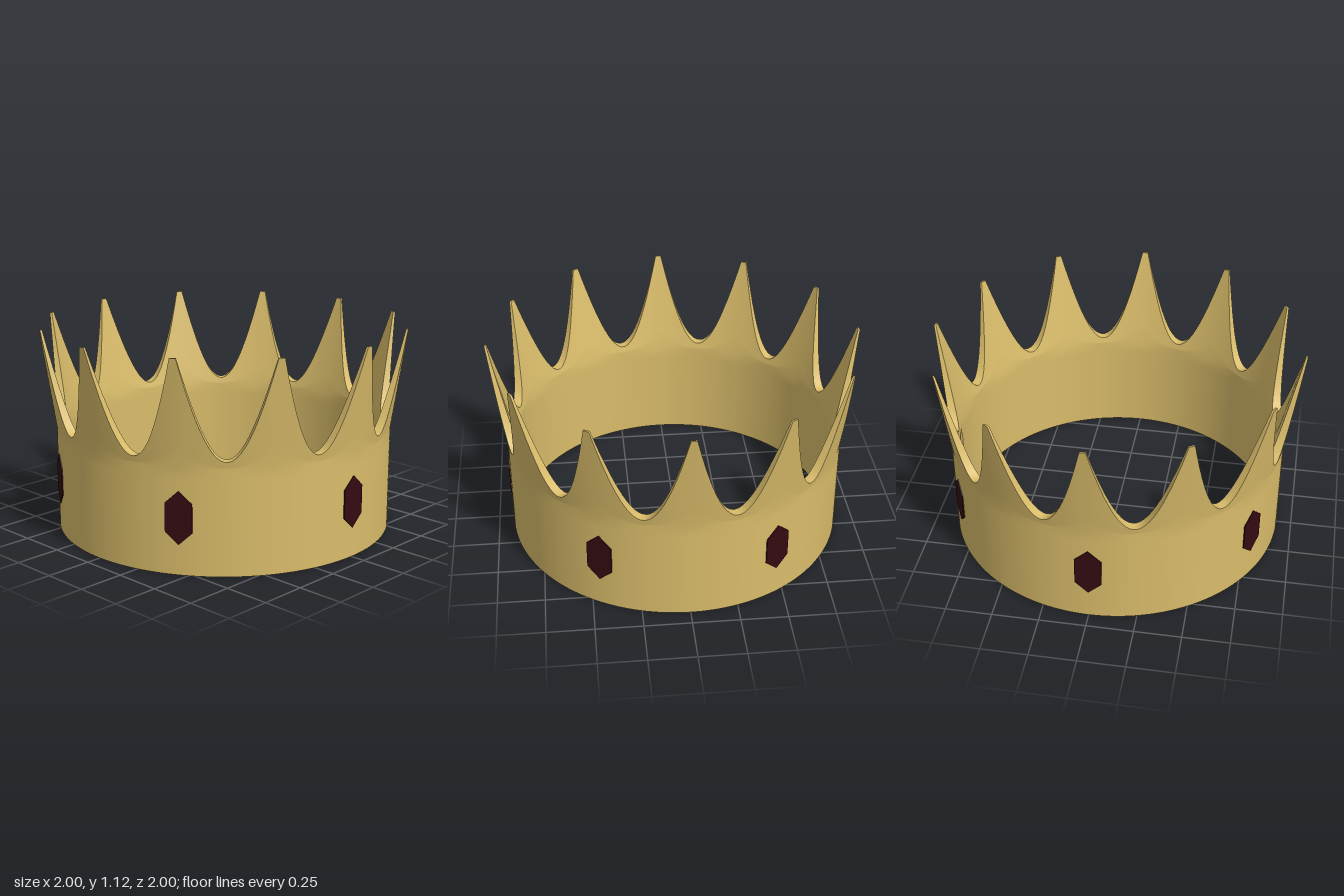
import * as THREE from 'three';

const SPIKES = 12, COLS = 24;           // columns per spike
const BEND = 0.56, VALLEY = 0.595, TIP = 1.12;
const STEP = (Math.PI * 2) / SPIKES;

// Rim height: a parabolic scoop between neighbouring flat-tipped spikes
function rimHeight(a) {
  const half = STEP / 2, tip = 0.016;
  const off = Math.abs(a - Math.round(a / STEP) * STEP);
  const t = Math.min(1, (half - off) / (half - tip));
  return VALLEY + (TIP - VALLEY) * t * t;
}

// Straight band below the bend; spikes flare outward and get thinner above it
const flare = (y) => Math.max(0, (y - BEND) / (TIP - BEND));
const outerR = (y) => 0.918 + 0.082 * flare(y);
const innerR = (y) => 0.865 + 0.124 * flare(y);

// Closed smooth surface around the axis; path(a) lists [radius, y] points
function ringSurface(path, name, material) {
  const n = SPIKES * COLS, pos = [], idx = [];
  let rows = 0;
  for (let i = 0; i < n; i++) {
    const spike = Math.floor(i / COLS), k = i % COLS;
    // first and last column of each spike sit on the edges of its flat tip
    const a = spike * STEP + 0.016 + (k / (COLS - 1)) * (STEP - 0.032);
    const pts = path(a);
    rows = pts.length;
    for (const [r, y] of pts) pos.push(r * Math.sin(a), y, r * Math.cos(a));
  }
  for (let i = 0; i < n; i++) {
    for (let j = 0; j < rows - 1; j++) {
      const p = i * rows + j, q = ((i + 1) % n) * rows + j;
      idx.push(p, q, q + 1, p, q + 1, p + 1);
    }
  }
  const g = new THREE.BufferGeometry();
  g.setAttribute('position', new THREE.Float32BufferAttribute(pos, 3));
  g.setIndex(idx);
  g.computeVertexNormals();
  const mesh = new THREE.Mesh(g, material);
  mesh.name = name;
  return mesh;
}

// Heights of one wall column from the base to the rim
function wallHeights(a) {
  const h = rimHeight(a), ys = [0, 0.5, BEND];
  for (let j = 1; j <= 5; j++) ys.push(BEND + ((h - BEND) * j) / 5);
  return ys;
}

export function createModel() {
  const gold = new THREE.MeshStandardMaterial({ color: 0xd9bc6a });
  gold.name = 'gold';
  const garnet = new THREE.MeshStandardMaterial({ color: 0x330b12 });
  garnet.name = 'garnet';

  const crown = new THREE.Group();
  crown.name = 'crown';

  // Gold band with spikes
  const band = new THREE.Group();
  band.name = 'band';
  band.add(
    ringSurface((a) => wallHeights(a).map((y) => [outerR(y), y]), 'outerWall', gold),
    ringSurface((a) => {
      const h = rimHeight(a);
      return [[outerR(h), h], [innerR(h), h]];
    }, 'topRim', gold),
    ringSurface((a) => wallHeights(a).reverse().map((y) => [innerR(y), y]), 'innerWall', gold),
    ringSurface(() => [[innerR(0), 0], [outerR(0), 0]], 'bottomRim', gold),
  );
  crown.add(band);

  // Six flat hexagonal gems under every other spike
  const outline = new THREE.Shape([
    [0, -0.14], [0.07, -0.075], [0.07, 0.075], [0, 0.14], [-0.07, 0.075], [-0.07, -0.075],
  ].map(([x, y]) => new THREE.Vector2(x, y)));
  const gemGeometry = new THREE.ExtrudeGeometry(outline, { depth: 0.008, bevelEnabled: false });
  gemGeometry.translate(0, 0.3, 0.914);
  for (let i = 0; i < 6; i++) {
    const gem = new THREE.Mesh(gemGeometry, garnet);
    gem.name = 'gem' + (i + 1);
    gem.rotation.y = STEP * (2 * i + 1);
    crown.add(gem);
  }
  return crown;
}
